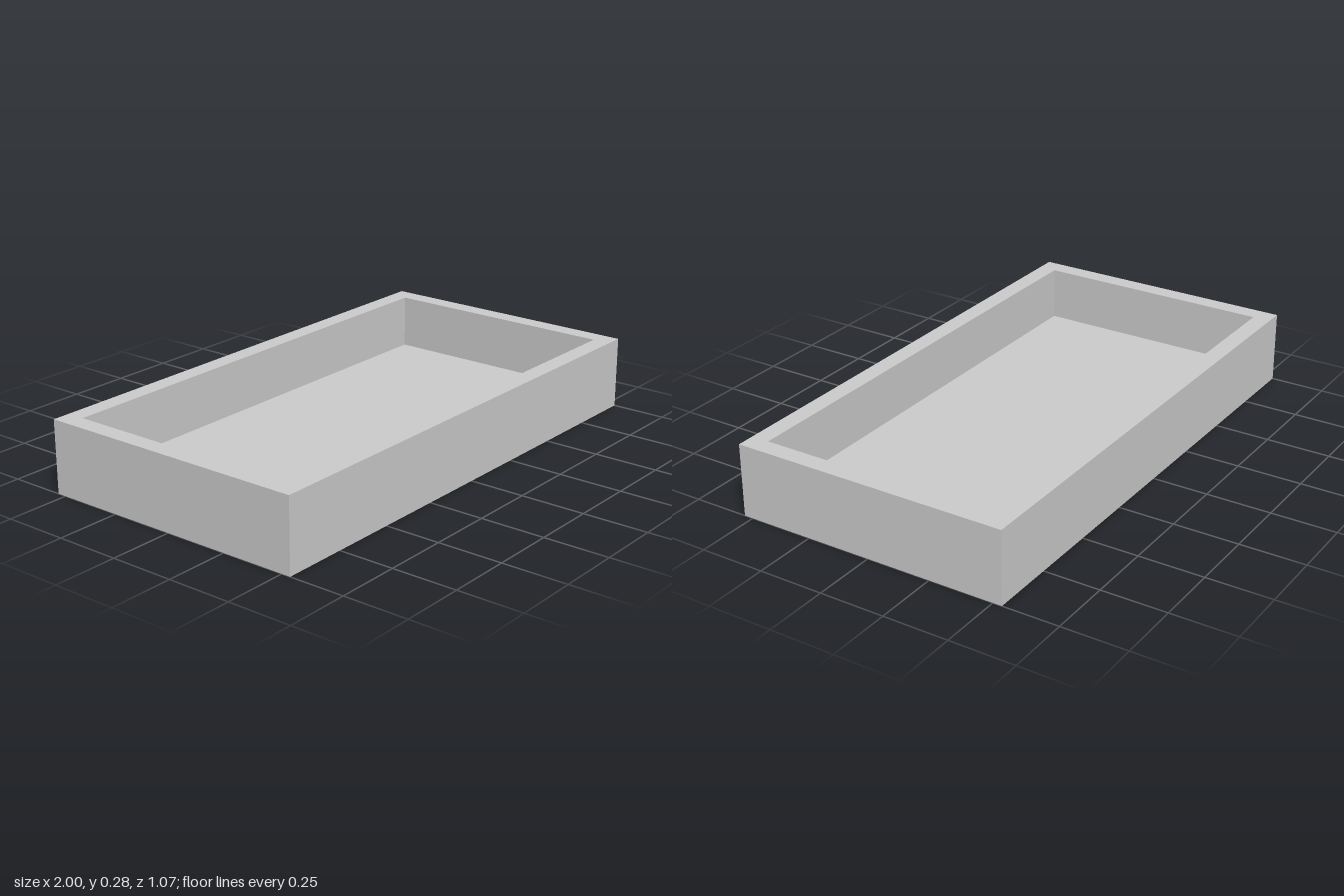
import * as THREE from 'three';

const HALF_X = 1, HALF_Z = 0.535, HEIGHT = 0.28, WALL = 0.07, FLOOR = 0.07;

// Closed open-topped tray skinned over rectangular rings: [inset, y]
function trayGeometry() {
  const rings = [[0, 0], [0, HEIGHT], [WALL, HEIGHT], [WALL, FLOOR]];
  const corners = [[1, 1], [1, -1], [-1, -1], [-1, 1]];
  const positions = [];
  for (const [inset, y] of rings)
    for (const [sx, sz] of corners)
      positions.push(sx * (HALF_X - inset), y, sz * (HALF_Z - inset));

  const index = [];
  const quad = (a, b, c, d) => index.push(a, b, c, a, c, d);
  // Outer walls, rim and inner walls
  for (let r = 0; r < rings.length - 1; r++)
    for (let i = 0; i < 4; i++) {
      const j = (i + 1) % 4;
      quad(r * 4 + i, r * 4 + j, r * 4 + 4 + j, r * 4 + 4 + i);
    }
  quad(3, 2, 1, 0); // underside
  quad(12, 13, 14, 15); // inner floor

  const indexed = new THREE.BufferGeometry();
  indexed.setAttribute('position', new THREE.Float32BufferAttribute(positions, 3));
  indexed.setIndex(index);
  const geometry = indexed.toNonIndexed();
  geometry.computeVertexNormals();
  return geometry;
}

export function createModel() {
  const model = new THREE.Group();
  model.name = 'openTray';
  const material = new THREE.MeshStandardMaterial({ color: 0xcccccc, flatShading: true });
  const tray = new THREE.Mesh(trayGeometry(), material);
  tray.name = 'tray';
  model.add(tray);
  return model;
}
